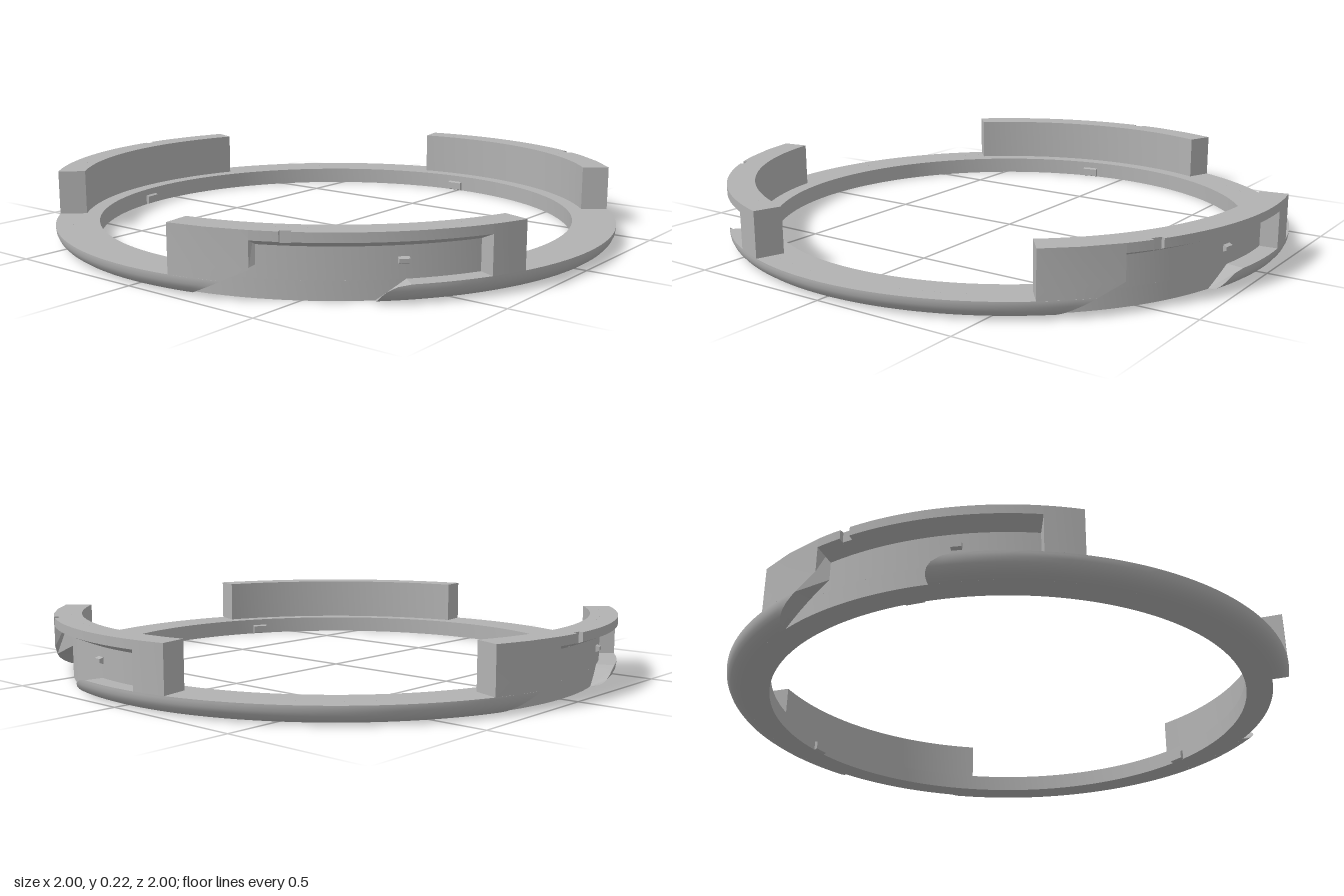
import * as THREE from 'three';
import { toCreasedNormals } from 'three/addons/utils/BufferGeometryUtils.js';

const RAD = Math.PI / 180;
const INNER = 0.85, WALL_IN = 0.905, WALL = 0.94, OUTER = 1;
const BASE = 0.06, TOP = 0.215;

// Sweep a closed counter-clockwise [radius, y] profile around y.
// Start and end angles (degrees) may depend on y, which gives slanted ends.
function sweep(profile, start, end) {
  const at = (f, y) => (typeof f === 'function' ? f(y) : f);
  const span = Math.abs(at(end, 0) - at(start, 0));
  const n = Math.max(2, Math.ceil(span / 2)), m = profile.length;
  const pos = [], index = [];
  for (let i = 0; i <= n; i++) {
    for (const [r, y] of profile) {
      const a = THREE.MathUtils.lerp(at(start, y), at(end, y), i / n) * RAD;
      pos.push(r * Math.cos(a), y, r * Math.sin(a));
    }
  }
  for (let i = 0; i < n; i++) {
    for (let j = 0; j < m; j++) {
      const p = i * m + j, q = i * m + (j + 1) % m;
      index.push(p, q, q + m, p, q + m, p + m);
    }
  }
  if (span < 360) {
    const contour = profile.map(([r, y]) => new THREE.Vector2(r, y));
    for (const [a, b, c] of THREE.ShapeUtils.triangulateShape(contour, [])) {
      index.push(a, c, b, n * m + a, n * m + b, n * m + c);
    }
  }
  const g = new THREE.BufferGeometry();
  g.setAttribute('position', new THREE.Float32BufferAttribute(pos, 3));
  g.setIndex(index);
  return toCreasedNormals(g, 0.55);
}

const rect = (r0, r1, y0, y1) => [[r0, y0], [r1, y0], [r1, y1], [r0, y1]];

export function createModel() {
  const group = new THREE.Group();
  const grey = new THREE.MeshStandardMaterial({ color: 0xb2b2b2 });
  grey.name = 'grey plastic';
  const add = (name, geometry, parent = group) => {
    const mesh = new THREE.Mesh(geometry, grey);
    mesh.name = name;
    parent.add(mesh);
    return mesh;
  };

  add('baseRing', sweep(rect(INNER, WALL, 0, BASE), 0, 360));

  // Rounded underside of the outer rim
  const rim = [];
  for (let i = 0; i <= 6; i++) {
    const t = i / 6 * Math.PI / 2;
    rim.push([WALL + 0.06 * Math.sin(t), 0.054 * (1 - Math.cos(t))]);
  }
  rim.push([OUTER, BASE], [WALL, BASE]);

  // Slanted entry of the recess, and the curved end of its ledge
  const ramp = y => Math.max(66, 78 - 120 * y);
  const ledgeEnd = y => 39.5 + 5.5 * Math.sqrt(Math.max(0, 1 - (y / BASE) ** 2));

  const lip = depth => [
    [WALL, 0.16], [OUTER - depth, 0.185 - depth * 0.4], [OUTER - depth, TOP], [WALL, TOP],
  ];
  const post = [[WALL, BASE], [OUTER, BASE], [OUTER, 0.1], [OUTER, TOP], [WALL, TOP], [WALL, 0.1]];

  for (let k = 0; k < 3; k++) {
    const lug = new THREE.Group();
    lug.name = 'lug' + (k + 1);
    lug.rotation.y = -k * 120 * RAD;
    group.add(lug);

    add('outerRim', sweep(rim, y => ramp(y) - 120, ledgeEnd), lug);
    add('lugWall', sweep(rect(WALL_IN, WALL, BASE, TOP), 18, 81), lug);
    add('stopPost', sweep(rect(WALL, OUTER, BASE, TOP), 18, 25), lug);
    add('rampPost', sweep(post, ramp, 81), lug);

    // Overhanging lip with a small index notch
    add('lip', sweep(lip(0), 25, 59), lug);
    add('lipNotch', sweep(lip(0.015), 59, 61), lug);
    add('lip', sweep(lip(0), 61, 66), lug);

    // Locking bump on the recess wall
    add('lockBump', sweep([[WALL, 0.105], [0.953, 0.11], [0.953, 0.122], [WALL, 0.127]], 39, 41), lug);
  }

  // Small nibs on the inner edge of the ring
  for (const a of [25, 170, 269]) {
    add('innerNib', sweep([[0.838, 0.004], [INNER, 0], [INNER, 0.036], [0.838, 0.032]], a - 2, a + 2));
  }
  return group;
}
